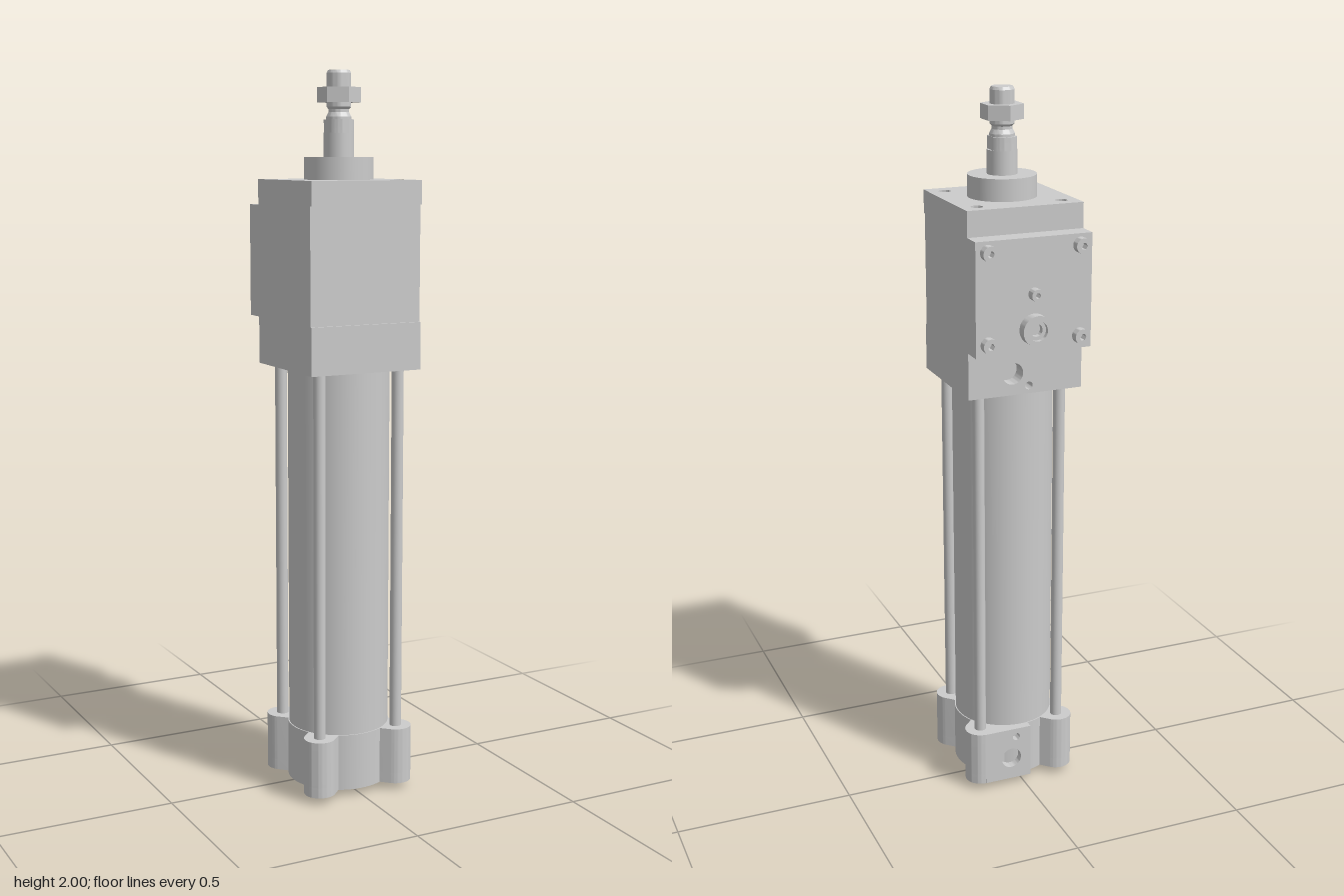
import * as THREE from 'three';
import { toCreasedNormals } from 'three/addons/utils/BufferGeometryUtils.js';

const material = new THREE.MeshStandardMaterial({ color: 0xcccccc });
const AXIS_Z = 0.0425; // cylinder axis, offset because the valve plate sticks out at the back

export function createModel() {
  const root = new THREE.Group();
  root.name = 'pneumaticCylinder';
  const body = new THREE.Group();
  body.name = 'cylinderAssembly';
  body.position.z = AXIS_Z;
  root.add(body);

  const add = (name, geometry, x = 0, y = 0, z = 0) => {
    const mesh = new THREE.Mesh(geometry, material);
    mesh.name = name;
    mesh.position.set(x, y, z);
    body.add(mesh);
    return mesh;
  };
  const box = (name, x0, x1, y0, y1, z0, z1) =>
    add(name, new THREE.BoxGeometry(x1 - x0, y1 - y0, z1 - z0), (x0 + x1) / 2, (y0 + y1) / 2, (z0 + z1) / 2);
  const rod = (name, r, y0, y1, x = 0, z = 0, sides = 48) =>
    add(name, new THREE.CylinderGeometry(r, r, y1 - y0, sides), x, (y0 + y1) / 2, z);
  const circle = (x, y, r) => new THREE.Path().absarc(x, y, r, 0, Math.PI * 2, true);
  const disc = (r) => new THREE.Shape().absarc(0, 0, r, 0, Math.PI * 2, false);
  const rect = (x0, x1, y0, y1) => new THREE.Shape([
    new THREE.Vector2(x0, y0), new THREE.Vector2(x1, y0), new THREE.Vector2(x1, y1), new THREE.Vector2(x0, y1)]);
  const extrude = (shape, depth, holes = []) => {
    shape.holes.push(...holes);
    return toCreasedNormals(
      new THREE.ExtrudeGeometry(shape, { depth, bevelEnabled: false, curveSegments: 24 }), 0.6);
  };
  const extrudeUp = (shape, depth, holes) => extrude(shape, depth, holes).rotateX(-Math.PI / 2);
  const hexPath = (r) => new THREE.Path(Array.from({ length: 6 }, (_, i) =>
    new THREE.Vector2(r * Math.cos(-i * Math.PI / 3), r * Math.sin(-i * Math.PI / 3))));
  const corners = [[1, 1], [1, -1], [-1, 1], [-1, -1]];
  const H = 0.165, T = 0.12;

  // Barrel and tie rods
  rod('barrel', 0.141, 0.17, 1.21, 0, 0, 64);
  for (const [sx, sz] of corners) {
    rod('tieRod', 0.0165, 0.17, 1.21, sx * T, sz * T, 24);
    rod('tieRodEnd', 0.0145, 1.66, 1.69, sx * T, sz * T, 24);
  }

  // End cap: round core, four lugs reaching out to the tie rods, boss below
  rod('endCapCore', 0.144, 0.02, 0.18, 0, 0, 64);
  rod('endCapBoss', 0.094, 0, 0.03);
  for (const [sx, sz] of corners) {
    const r = 0.044, d = T * Math.SQRT2;
    const outline = () => {
      const s = new THREE.Shape();
      s.moveTo(0.1, -r);
      s.lineTo(d, -r);
      s.absarc(d, 0, r, -Math.PI / 2, Math.PI / 2, false);
      s.lineTo(0.1, r);
      return s;
    };
    const angle = Math.atan2(-sz, sx);
    add('endCapLug', extrudeUp(outline(), 0.13), 0, 0.05, 0).rotation.y = angle;
    add('endCapLugFoot', extrudeUp(outline(), 0.03, [circle(d, 0, 0.018)]), 0, 0.02, 0).rotation.y = angle;
  }

  // Port block on the back of the end cap
  box('endCapPortBlock', -0.02, T, 0.02, 0.18, -0.135, 0);
  add('endCapPortFace', extrude(rect(-0.02, T, 0.02, 0.18), 0.031,
    [circle(0.04, 0.087, 0.03), circle(0.025, 0.154, 0.011)]), 0, 0, -H);

  // Head: bottom section with rear ports, slightly recessed middle, drilled top slab
  box('headBase', -H, H, 1.2, 1.33, -0.12, H);
  add('headPortFace', extrude(rect(-H, H, 1.2, 1.33), 0.046,
    [circle(0.037, 1.26, 0.03), circle(-0.01, 1.222, 0.011)]), 0, 0, -H);
  box('headMiddle', -H, H, 1.33, 1.66, -H, 0.158);
  box('headTopBand', -H, H, 1.645, 1.67, -H, H);
  add('headTopSlab', extrudeUp(rect(-H, H, -H, H), 0.04,
    corners.map(([sx, sz]) => circle(sx * T, sz * T, 0.0165))), 0, 1.67, 0);

  // Valve plate on the back with socket screws, adjuster and lock fitting
  box('valvePlate', -H, H, 1.33, 1.64, -0.2215, -0.16);
  for (const x of [-0.131, 0.131])
    for (const y of [1.365, 1.61])
      add('plateScrew', extrude(disc(0.021), 0.0245, [hexPath(0.01)]), x, y, -0.2455);
  add('adjusterScrew', extrude(disc(0.017), 0.027, [hexPath(0.008)]), 0, 1.49, -0.248);
  add('fittingRing', extrude(disc(0.042), 0.03, [circle(0, 0, 0.027)]), 0, 1.395, -0.2505);
  add('fittingCore', extrude(disc(0.027), 0.018, [circle(0, 0, 0.017)]), 0, 1.395, -0.238);

  // Front collar
  rod('collar', 0.094, 1.70, 1.77, 0, 0, 64);

  // Piston rod with wrench flats, necked and chamfered stud
  rod('pistonRod', 0.041, 1.76, 1.835);
  const flats = new THREE.CylinderGeometry(0.041, 0.041, 0.036, 64).toNonIndexed();
  const p = flats.attributes.position;
  for (let i = 0; i < p.count; i++) p.setX(i, THREE.MathUtils.clamp(p.getX(i), -0.034, 0.034));
  add('wrenchFlats', toCreasedNormals(flats, 0.4), 0, 1.852, 0);
  const profile = [[0, 1.86], [0.034, 1.86], [0.034, 1.877], [0.028, 1.889], [0.028, 1.897], [0.033, 1.903],
    [0.033, 1.992], [0.029, 2], [0, 2]].map(([r, y]) => new THREE.Vector2(r, y));
  add('threadedStud', toCreasedNormals(new THREE.LatheGeometry(profile, 48), 0.4));

  // Hexagonal lock nut, points towards front and back
  add('lockNut', toCreasedNormals(new THREE.CylinderGeometry(0.059, 0.059, 0.04, 6), 0.4), 0, 1.935, 0);

  return root;
}
